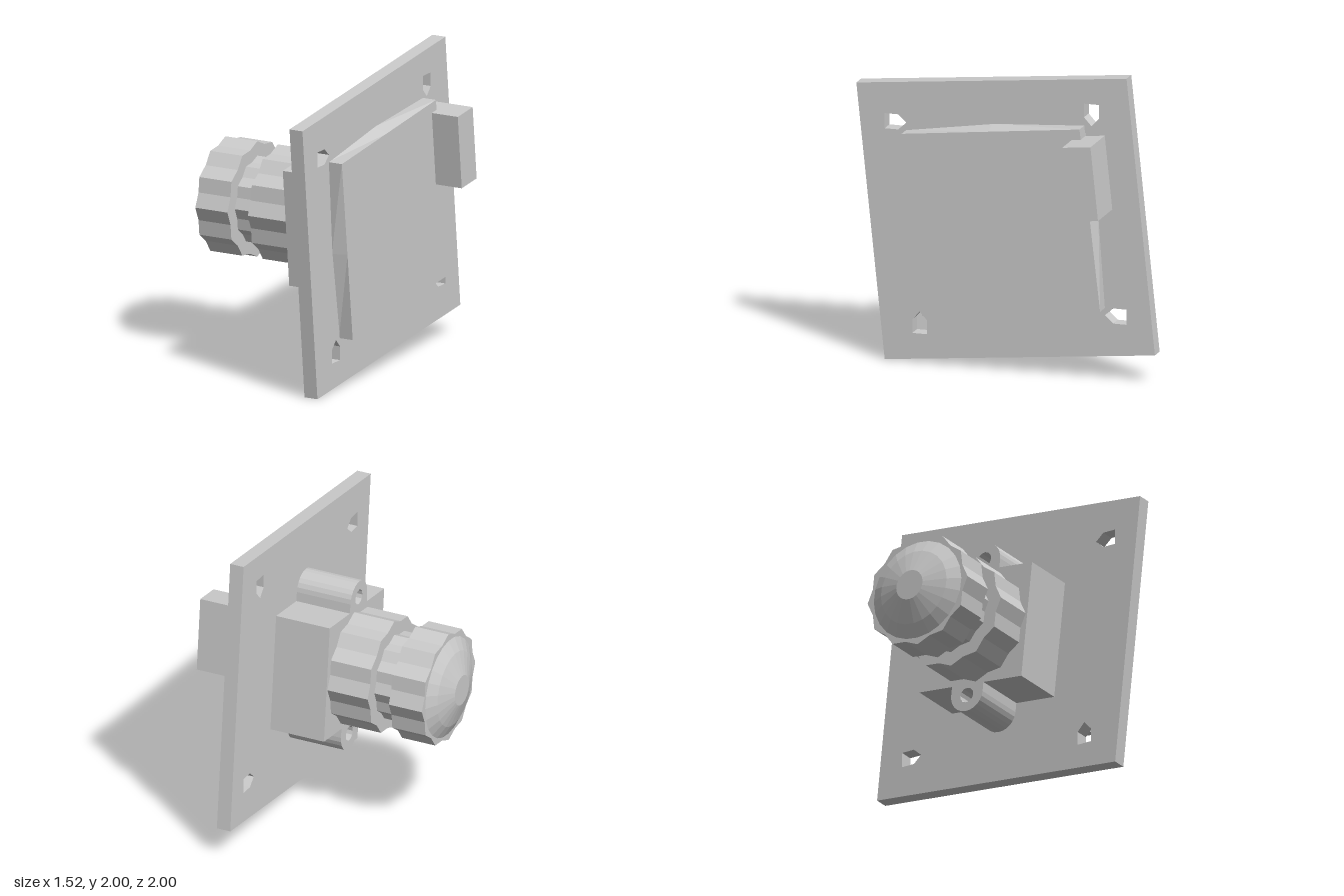
import * as THREE from 'three';

const TILT = THREE.MathUtils.degToRad(6);
const material = new THREE.MeshStandardMaterial({ color: 0xcccccc, flatShading: true });
const quarterTurns = [0, 1, 2, 3].map((i) => i * Math.PI / 2);

// Turn a list of [s, v] points about the lens axis
const turn = (points, angle) => points.map(([s, v]) =>
  new THREE.Vector2(s, v).rotateAround(new THREE.Vector2(), angle));

// Extrude a shape (s runs to the right, v up) along x from x0 to x1
function slab(shape, x0, x1, curveSegments = 6) {
  return new THREE.ExtrudeGeometry(shape, { depth: x1 - x0, bevelEnabled: false, curveSegments })
    .rotateY(Math.PI / 2).translate(x0, 0, 0);
}

// Fluted ring outline: 24 points alternating between two radii
function flutedShape(outer, inner) {
  const points = [];
  for (let i = 0; i < 24; i++) {
    const r = i % 2 ? inner : outer;
    const a = i * Math.PI / 12;
    points.push(new THREE.Vector2(r * Math.cos(a), r * Math.sin(a)));
  }
  return new THREE.Shape(points);
}

export function createModel() {
  const model = new THREE.Group();
  model.name = 'cameraModule';
  const body = new THREE.Group();
  body.name = 'body';
  body.position.y = 1;
  model.add(body);

  function add(name, geometry) {
    const mesh = new THREE.Mesh(geometry, material);
    mesh.name = name;
    body.add(mesh);
    return mesh;
  }

  // Tilted square board with a five-sided hole near each corner
  const h = 0.91;
  const board = new THREE.Shape(turn([[-h, -h], [h, -h], [h, h], [-h, h]], TILT));
  const hole = [[-0.81, 0.625], [-0.72, 0.625], [-0.665, 0.575], [-0.72, 0.525], [-0.81, 0.525]];
  for (const a of quarterTurns) board.holes.push(new THREE.Path(turn(hole, a)));
  add('circuitBoard', slab(board, 0.38, 0.475));

  // Chip: straight-edged outer face, slightly bowed sides at its base
  const chipOutline = quarterTurns.flatMap((a) => turn([[-0.665, 0.527], [-0.62, -0.09]], a));
  const chip = slab(new THREE.Shape(chipOutline), 0.47, 0.57);
  const p = chip.attributes.position;
  for (let i = 0; i < p.count; i++) {
    const y = p.getY(i), z = p.getZ(i);
    if (p.getX(i) > 0.52 && Math.hypot(y, z) < 0.7) p.setXYZ(i, p.getX(i), y * 0.955, z * 0.955);
  }
  chip.computeVertexNormals();
  add('chip', chip);

  // Cable connector beside the chip
  const connector = add('connector', new THREE.BoxGeometry(0.29, 0.485, 0.19));
  connector.position.set(0.615, 0.36, -0.595);
  connector.rotation.x = TILT;

  // Lens holder block
  const holder = add('lensHolder', new THREE.BoxGeometry(0.38, 0.78, 0.78));
  holder.position.x = 0.19;
  holder.rotation.x = TILT;

  // Rounded screw lugs above and below the holder
  for (const side of [0, 1]) {
    const lug = new THREE.Shape();
    lug.moveTo(-0.12, 0.36);
    lug.lineTo(0.12, 0.36);
    lug.lineTo(0.12, 0.45);
    lug.absarc(0, 0.45, 0.12, 0, Math.PI, false);
    lug.closePath();
    lug.holes.push(new THREE.Path().absarc(0, 0.46, 0.05, 0, Math.PI * 2, true));
    const mesh = add(side ? 'lowerLug' : 'upperLug', slab(lug, 0, 0.38));
    mesh.rotation.x = TILT + side * Math.PI;
    mesh.position.z = side ? -0.02 : 0.02;
  }

  // Fluted lens barrel, neck and focus ring
  add('lensBarrel', slab(flutedShape(0.38, 0.352), -0.285, 0.02));
  add('lensNeck', slab(flutedShape(0.285, 0.265), -0.45, -0.27));
  add('focusRing', slab(flutedShape(0.38, 0.352), -0.67, -0.435));

  // Domed front glass
  const dome = [[0.342, 0.665], [0.25, 0.715], [0.1, 0.765], [0, 0.765]]
    .map(([r, y]) => new THREE.Vector2(r, y));
  add('frontGlass', new THREE.LatheGeometry(dome, 24).rotateZ(Math.PI / 2));

  return model;
}
